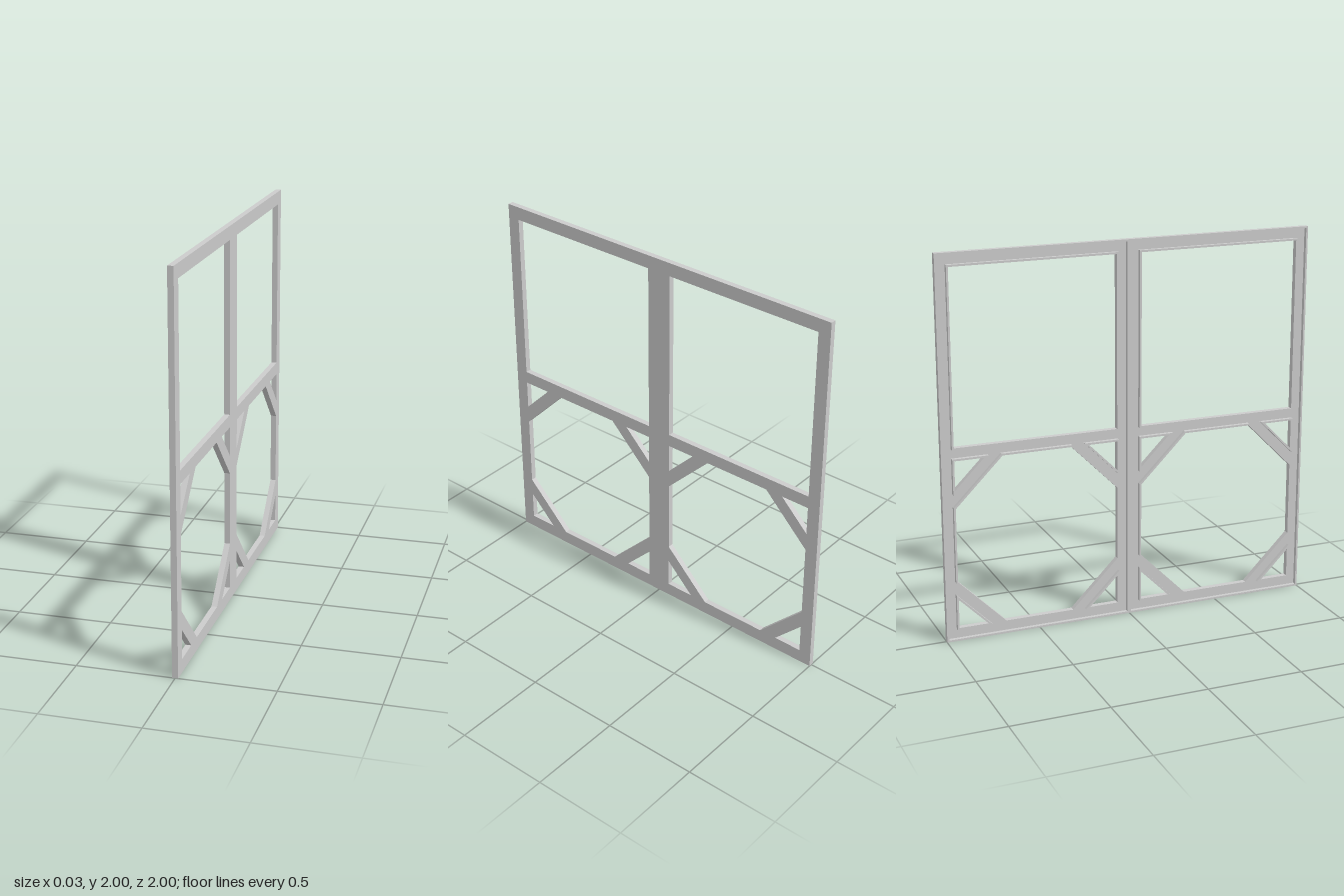
import * as THREE from 'three';

const DEPTH = 0.03, SKIN = 0.01, WALL = 0.01;
const material = new THREE.MeshStandardMaterial({ color: 0xcccccc, flatShading: true });

// Moves the sides of a convex counter-clockwise polygon outward by d.
function offset(points, d) {
  const n = points.length;
  return points.map((p, i) => {
    const a = p.clone().sub(points[(i + n - 1) % n]).normalize();
    const b = points[(i + 1) % n].clone().sub(p).normalize();
    const na = new THREE.Vector2(a.y, -a.x), nb = new THREE.Vector2(b.y, -b.x);
    return na.clone().add(nb).multiplyScalar(d / (1 + na.dot(nb))).add(p);
  });
}

// Flat plate in the z-y plane, from x0 to x0 + depth.
function plate(name, outline, holes, x0, depth) {
  const shape = new THREE.Shape(outline);
  holes.forEach(h => shape.holes.push(new THREE.Path(h)));
  const geometry = new THREE.ExtrudeGeometry(shape, { depth, bevelEnabled: false });
  geometry.translate(0, 0, x0).rotateY(Math.PI / 2);
  const mesh = new THREE.Mesh(geometry, material);
  mesh.name = name;
  return mesh;
}

const polygon = list => list.map(([u, v]) => new THREE.Vector2(u, v));
const rect = (l, b, r, t) => polygon([[l, b], [r, b], [r, t], [l, t]]);

// One half of the frame, spanning u = 0..1 before it is shifted.
function panel(name, shift) {
  const group = new THREE.Group();
  group.name = name;
  const l = 0.067 + shift, r = 0.933 + shift, b = 0.07, t = 0.96;
  const cut = 0.25, leg = 0.154;
  const outline = rect(shift, 0, 1 + shift, 2);

  const openings = [
    { name: 'upperOpeningFlange', points: rect(l, 1.027, r, 1.93) },
    { name: 'lowerOpeningFlange', points: polygon([
      [l + cut, b], [r - cut, b], [r, b + cut], [r, t - cut],
      [r - cut, t], [l + cut, t], [l, t - cut], [l, b + cut]]) },
  ];
  // Triangular gaps behind the corner braces
  for (const [u, su] of [[l, 1], [r, -1]]) {
    for (const [v, sv] of [[b, 1], [t, -1]]) {
      const points = polygon([[u, v], [u + su * leg, v], [u, v + sv * leg]]);
      if (su * sv < 0) points.reverse();
      openings.push({ name: 'cornerBraceFlange', points });
    }
  }

  // Flat web on the +x side, with channel flanges behind it
  group.add(plate('web', outline, openings.map(o => o.points), DEPTH / 2 - SKIN, SKIN));
  const back = -DEPTH / 2, height = DEPTH - SKIN;
  group.add(plate('outerFlange', outline, [offset(outline, -WALL)], back, height));
  for (const o of openings) {
    group.add(plate(o.name, offset(o.points, WALL), [o.points], back, height));
  }
  return group;
}

export function createModel() {
  const model = new THREE.Group();
  model.name = 'bracedFrame';
  model.add(panel('rearPanel', 0), panel('frontPanel', -1));
  return model;
}
